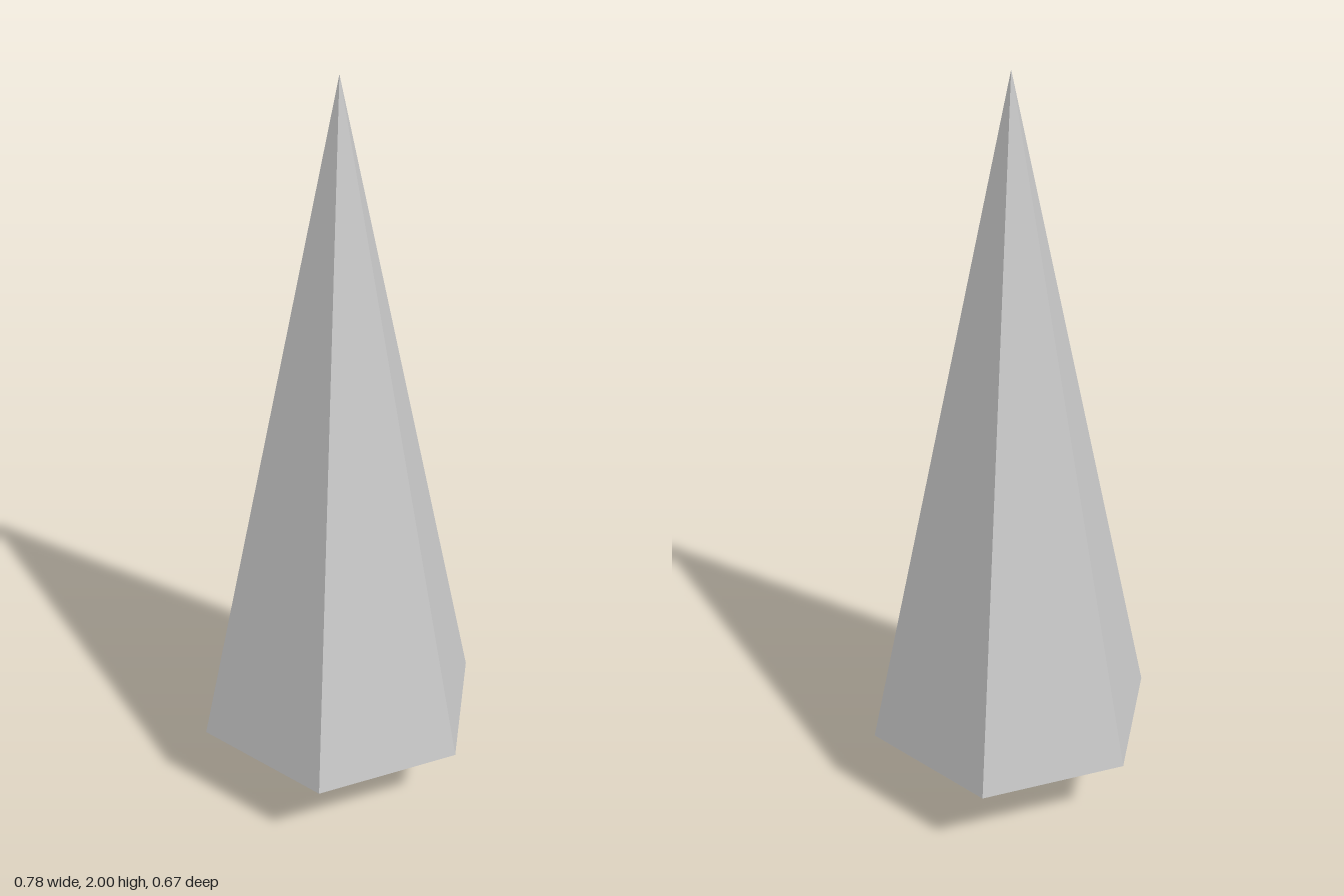
import * as THREE from 'three';

const SIDES = 6;
const BASE_Y = 0.215; // underside of the foliage
const HEIGHT = 2;

export function createModel() {
  const tree = new THREE.Group();
  tree.name = 'tree';
  const material = new THREE.MeshStandardMaterial({ color: 0xcccccc, flatShading: true });

  // Six-sided prism or cone with corners on the x axis
  function addHexPart(name, topRadius, bottomRadius, bottomY, topY) {
    const height = topY - bottomY;
    const geometry = new THREE.CylinderGeometry(topRadius, bottomRadius, height, SIDES, 1, false, Math.PI / 2);
    geometry.translate(0, bottomY + height / 2, 0);
    const mesh = new THREE.Mesh(geometry, material);
    mesh.name = name;
    tree.add(mesh);
  }

  addHexPart('trunk', 0.068, 0.068, 0, BASE_Y);
  addHexPart('foliage', 0, 0.389, BASE_Y, HEIGHT);

  return tree;
}
